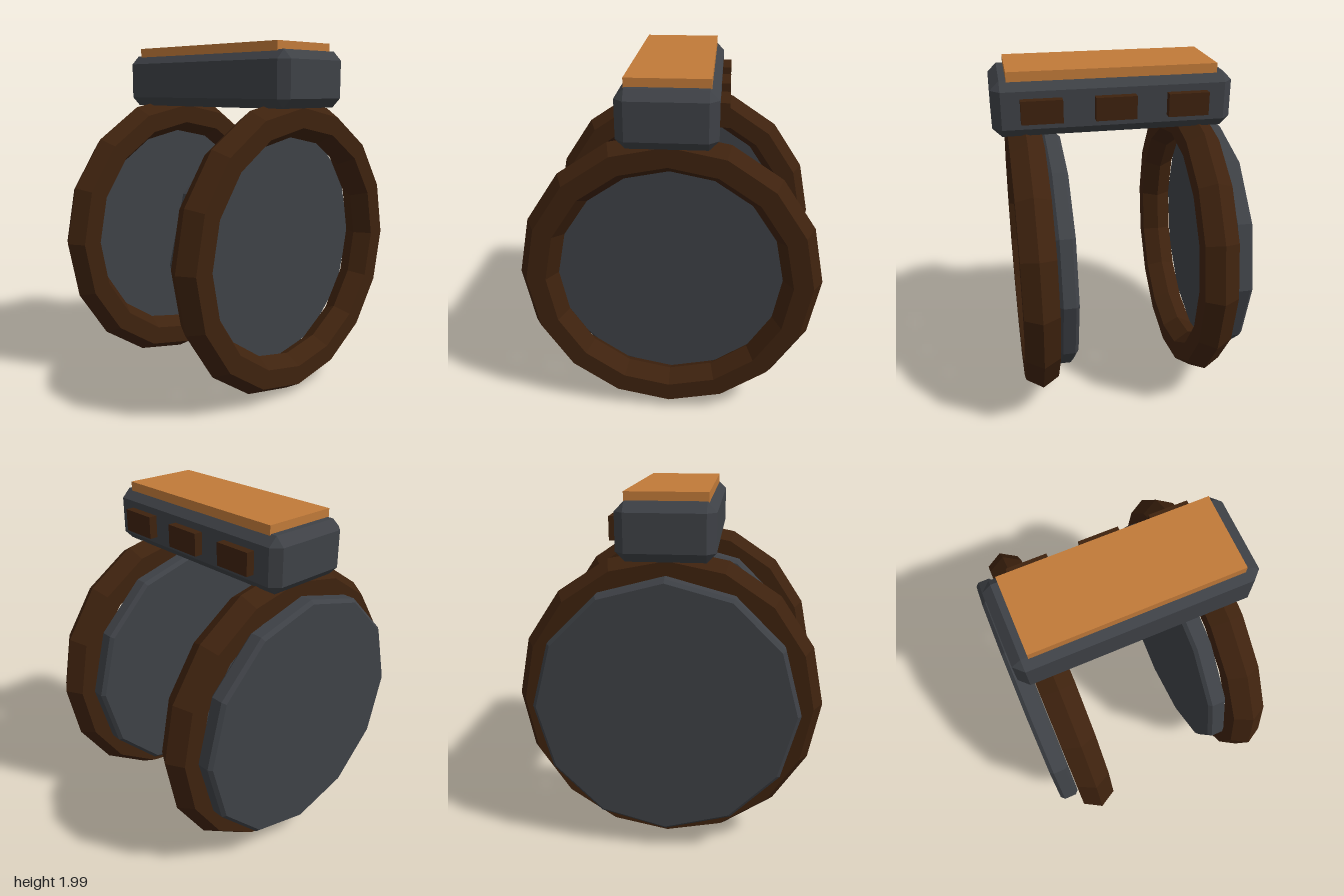
import * as THREE from 'three';
import { ConvexGeometry } from 'three/addons/geometries/ConvexGeometry.js';

const CENTER_Y = 0.856; // height of ring and disc centres
const MID_Z = 0.0175; // middle of the top block along z

const material = (color) => new THREE.MeshStandardMaterial({ color, flatShading: true });

// Box with every edge chamfered by b
function chamferedBox(w, h, d, b) {
  const points = [];
  for (const sx of [-1, 1]) for (const sy of [-1, 1]) for (const sz of [-1, 1]) {
    for (let axis = 0; axis < 3; axis++) {
      const [x, y, z] = [w, h, d].map((s, i) => s / 2 - (i === axis ? 0 : b));
      points.push(new THREE.Vector3(sx * x, sy * y, sz * z));
    }
  }
  return new ConvexGeometry(points);
}

// Twelve-sided disc with bevelled rims, facing z
function bevelledDisc(radius, depth, b) {
  const h = depth / 2;
  const profile = [
    [0, -h], [radius - b, -h], [radius, -h + b],
    [radius, h - b], [radius - b, h], [0, h],
  ].map(([x, y]) => new THREE.Vector2(x, y));
  return new THREE.LatheGeometry(profile, 12).rotateX(Math.PI / 2);
}

export function createModel() {
  const model = new THREE.Group();
  const brown = material(0x3e220e);
  const grey = material(0x3e4146);
  const orange = material(0xc17a39);

  const add = (name, geometry, mat, x, y, z) => {
    const mesh = new THREE.Mesh(geometry, mat);
    mesh.name = name;
    mesh.position.set(x, y, z);
    model.add(mesh);
  };

  // Two hoops, each with a disc just behind it
  const ring = new THREE.TorusGeometry(0.741, 0.109, 6, 16);
  const disc = bevelledDisc(0.725, 0.108, 0.02);
  for (const [side, z] of [['front', 0.5], ['back', -0.468]]) {
    add(side + 'Ring', ring, brown, 0, CENTER_Y, z);
    add(side + 'Disc', disc, grey, 0, CENTER_Y, z - 0.153);
  }

  // Block bridging the hoops, with a plate on top
  add('topBlock', chamferedBox(0.52, 0.304, 1.315, 0.05), grey, 0, 1.803, MID_Z);
  add('topPlate', new THREE.BoxGeometry(0.435, 0.06, 1.142), orange, 0, 1.97, MID_Z);

  // Three buttons on the left side of the block
  const button = new THREE.BoxGeometry(0.07, 0.126, 0.222);
  for (let i = -1; i <= 1; i++) {
    add('sideButton' + (i + 2), button, brown, 0.274, 1.803, MID_Z + i * 0.396);
  }

  return model;
}
